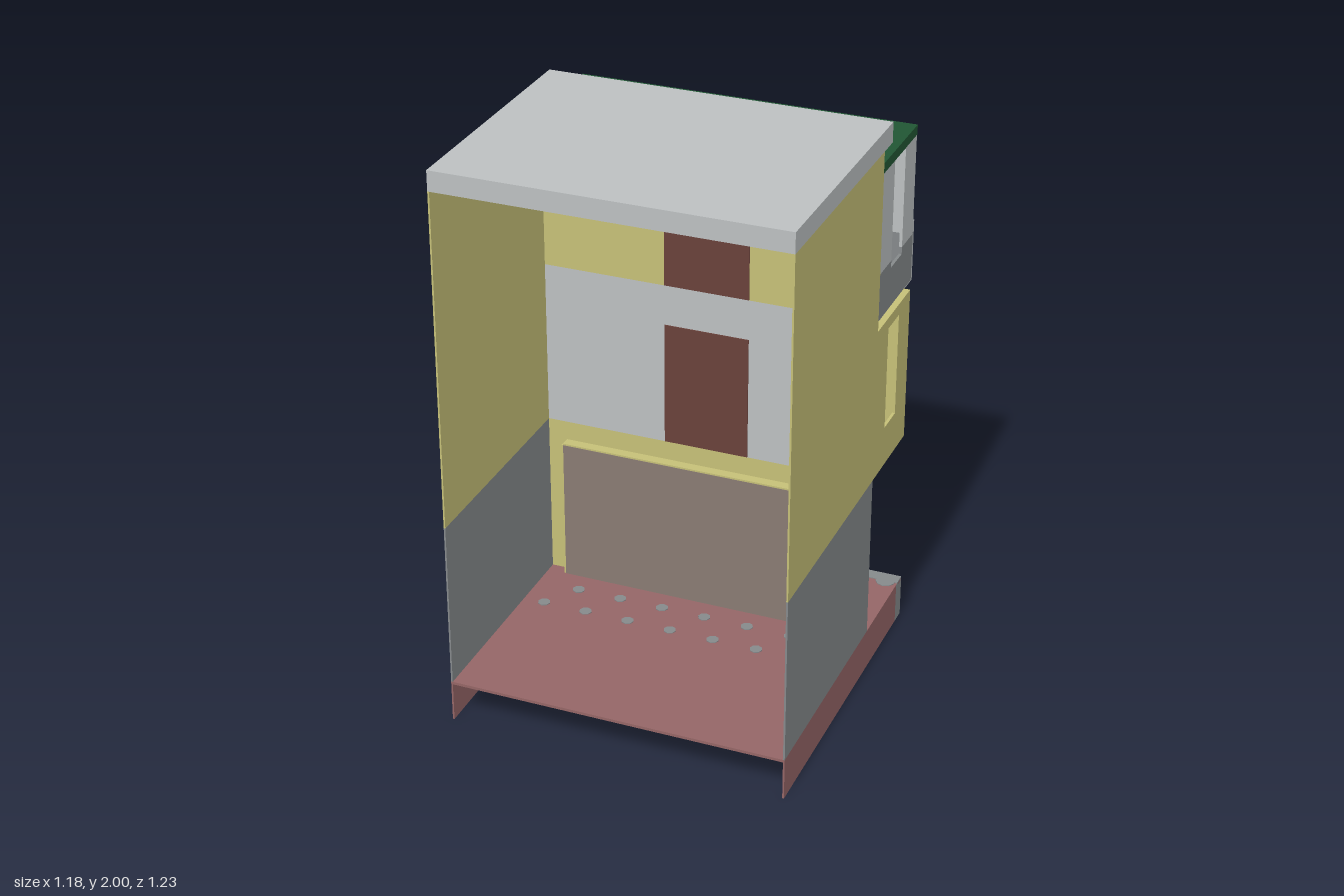
import * as THREE from 'three';

const mat = (name, color) => new THREE.MeshStandardMaterial({ name, color, side: THREE.DoubleSide });

export function createModel() {
  const yellow = mat('yellowPlaster', 0xc5bf77);
  const light = mat('lightGray', 0xbcc0c1);
  const gray = mat('darkGray', 0x85898b);
  const brown = mat('doorBrown', 0x69413a);
  const taupe = mat('shutterTaupe', 0x897b72);
  const red = mat('tileRed', 0x946566);
  const green = mat('roofGreen', 0x215634);

  const root = new THREE.Group();
  root.name = 'house';
  const X = 0.592, F = 0.612, W = -0.2, B = -0.535, T = 0.01;

  const group = (name, parent = root) => {
    const g = new THREE.Group();
    g.name = name;
    parent.add(g);
    return g;
  };
  const add = (parent, name, geo, m) => {
    const mesh = new THREE.Mesh(geo, m);
    mesh.name = name;
    parent.add(mesh);
    return mesh;
  };
  // box given by its limits
  const box = (parent, name, m, x0, x1, y0, y1, z0, z1) => {
    const mesh = add(parent, name, new THREE.BoxGeometry(x1 - x0, y1 - y0, z1 - z0), m);
    mesh.position.set((x0 + x1) / 2, (y0 + y1) / 2, (z0 + z1) / 2);
    return mesh;
  };
  const rect = (P, a0, a1, b0, b1) => {
    const p = new P();
    p.moveTo(a0, b0); p.lineTo(a1, b0); p.lineTo(a1, b1); p.lineTo(a0, b1); p.closePath();
    return p;
  };
  // thin wall with one rectangular opening; outer and hole are [a0, a1, y0, y1]
  const holed = (outer, hole) => {
    const s = rect(THREE.Shape, ...outer);
    s.holes.push(rect(THREE.Path, ...hole));
    return new THREE.ExtrudeGeometry(s, { depth: T, bevelEnabled: false });
  };

  // plinth: floor and skirt, open at the front and below
  const plinth = group('plinth');
  box(plinth, 'tiledFloor', red, -X, X, 0.14, 0.15, -0.57, F);
  box(plinth, 'streetSkirt', gray, -X, X, 0, 0.149, -0.577, -0.567);
  for (const s of [-1, 1]) {
    const a = s > 0 ? X - 0.006 : -X, b = a + 0.006;
    box(plinth, 'sideSkirt', red, a, b, 0, 0.149, -0.52, F);
    box(plinth, 'sideSkirtEnd', gray, a, b, 0, 0.149, -0.567, -0.52);
  }
  box(plinth, 'curbStrip', gray, -X, X, 0.146, 0.153, -0.577, -0.53);
  // staggered floor studs, and a scalloped edge along the curb
  const stud = new THREE.CylinderGeometry(0.022, 0.022, 0.016, 8);
  [0.05, -0.07, -0.185, -0.3, -0.415].forEach((z, row) => {
    for (let i = 0; i < 7; i++) {
      const x = -0.51 + i * 0.158 + (row % 2 ? 0.079 : 0);
      add(plinth, 'floorStud', stud, gray).position.set(x, 0.145, z);
    }
  });
  for (let i = 0; i < 8; i++) {
    add(plinth, 'curbScallop', new THREE.CylinderGeometry(0.035, 0.035, 0.006, 10), gray)
      .position.set(-0.55 + i * 0.157, 0.15, -0.53);
  }

  // shell: side walls, partition wall and roof
  const shell = group('shell');
  for (const s of [-1, 1]) {
    const a = s > 0 ? X - 0.006 : -X, b = a + 0.006;
    box(shell, 'lowerSideWall', gray, a, b, 0.15, 0.745, W, F);
    box(shell, 'upperSideWall', yellow, a, b, 0.745, 1.93, W, F);
  }
  const V = X - 0.006;
  add(shell, 'shopWall', holed([-V, V, 0.15, 0.745], [-0.518, 0.518, 0.151, 0.67]), yellow).position.z = W;
  box(shell, 'middleWall', light, -V, V, 0.745, 1.335, W, W + T);
  box(shell, 'topWall', yellow, -V, V, 1.335, 1.93, W, W + T);
  box(shell, 'mainRoof', light, -X, X, 1.93, 2, -0.278, F);

  // recessed shutter
  const shutter = group('shutter');
  box(shutter, 'shutterPanel', taupe, -0.518, 0.518, 0.15, 0.67, -0.16, -0.154);
  box(shutter, 'shutterLintel', yellow, -0.518, 0.518, 0.67, 0.676, W, -0.155);
  for (const s of [-1, 1])
    box(shutter, 'shutterJamb', yellow, s * 0.521 - 0.003, s * 0.521 + 0.003, 0.15, 0.67, W, -0.155);

  // doors, seen from both sides of the wall
  box(root, 'lowerDoor', brown, -0.15, 0.15, 0.747, 1.19, -0.212, -0.186);
  box(root, 'upperDoor', brown, -0.15, 0.15, 1.337, 1.785, -0.212, -0.186);

  // lower balcony: closed box with wide window and side windows
  const lower = group('lowerBalcony');
  add(lower, 'balconyFront', holed([-X, X, 0.745, 1.3], [-0.485, 0.485, 0.89, 1.26]), yellow).position.z = B;
  for (const s of [-1, 1]) {
    const side = add(lower, 'balconySide', holed([B + T, W, 0.745, 1.3], [-0.42, -0.31, 0.89, 1.26]), yellow);
    side.rotation.y = -Math.PI / 2;
    side.position.x = s > 0 ? X : -X + T;
  }
  box(lower, 'balconyFloor', yellow, -X + T, X - T, 0.745, 0.752, B + T, W);
  box(lower, 'balconyCeiling', yellow, -X + T, X - T, 1.262, 1.3, B + T, W);

  // upper balcony: parapet, posts and green roof
  const upper = group('upperBalcony');
  box(upper, 'balconyDeck', gray, -X + T, X - T, 1.337, 1.347, B + T, W);
  box(upper, 'frontParapet', gray, -X, X, 1.337, 1.48, B, B + T);
  const post = (x0, x1, z0, z1) => {
    box(upper, 'postBase', gray, x0, x1, 1.48, 1.505, z0, z1);
    box(upper, 'post', light, x0, x1, 1.505, 1.856, z0, z1);
  };
  const pitch = 2 * X / 11;
  for (let i = 0; i < 6; i++) post(-X + 2 * i * pitch, -X + (2 * i + 1) * pitch, B, B + T);
  for (const s of [-1, 1]) {
    const a = s > 0 ? X - T : -X, b = a + T;
    box(upper, 'sideParapet', gray, a, b, 1.337, 1.48, B + T, W);
    post(a, b, B + T, -0.422);
    post(a, b, -0.312, W);
  }
  box(upper, 'balconyRoof', green, -X, X, 1.855, 1.89, -0.54, W);

  // wall units with fan, small grille and slotted sides
  const wallUnit = (y, zBack) => {
    const g = group('airConditioner');
    box(g, 'unitCase', light, -0.147, 0.147, -0.11, 0.11, -0.072, 0);
    const fan = add(g, 'unitFan', new THREE.CylinderGeometry(0.082, 0.082, 0.006, 8), gray);
    fan.rotation.x = Math.PI / 2;
    fan.position.set(0.05, 0, -0.072);
    const grille = add(g, 'unitGrille', new THREE.CylinderGeometry(0.02, 0.02, 0.006, 8), gray);
    grille.rotation.x = Math.PI / 2;
    grille.scale.x = 1.4;
    grille.position.set(-0.1, 0.03, -0.072);
    const slot = new THREE.Shape();
    slot.absarc(0, 0.072, 0.019, 0, Math.PI);
    slot.absarc(0, -0.072, 0.019, Math.PI, Math.PI * 2);
    for (const s of [-1, 1]) {
      const vent = add(g, 'unitVent', new THREE.ShapeGeometry(slot, 6), gray);
      vent.rotation.y = s * Math.PI / 2;
      vent.position.set(s * 0.149, 0, -0.036);
    }
    g.position.set(0.425, y, zBack);
  };
  wallUnit(1.41, -0.54);
  wallUnit(1.1, W);

  return root;
}
